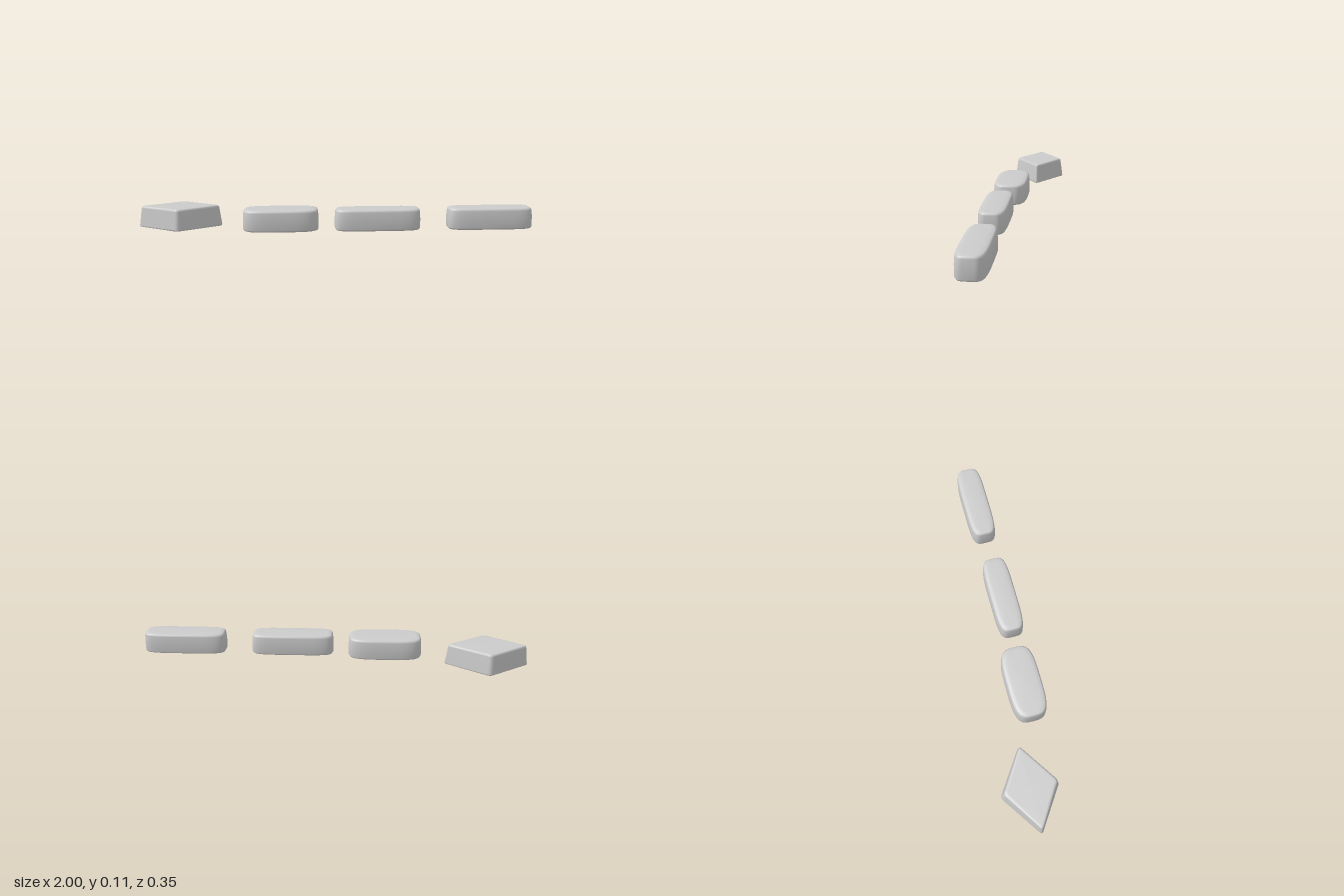
import * as THREE from 'three';

const SIDES = 64;
const material = new THREE.MeshStandardMaterial({ color: 0xcccccc });

// Rounded rectangular outline: a superellipse, higher power = squarer
function pillOutline(hx, hz, power) {
  const soft = (v) => Math.sign(v) * Math.pow(Math.abs(v), 2 / power);
  return Array.from({ length: SIDES }, (_, i) => {
    const a = (i / SIDES) * Math.PI * 2;
    return [soft(Math.cos(a)) * hx, soft(Math.sin(a)) * hz];
  });
}

// Rhombus outline with small rounded corners
function diamondOutline(hx, hz) {
  const corners = [[hx, 0], [0, hz], [-hx, 0], [0, -hz]];
  const points = [];
  const cut = 0.07, steps = SIDES / 4 - 1;
  corners.forEach(([x, z], i) => {
    const toward = ([px, pz]) => new THREE.Vector2(x + (px - x) * cut, z + (pz - z) * cut);
    const curve = new THREE.QuadraticBezierCurve(
      toward(corners[(i + 3) % 4]), new THREE.Vector2(x, z), toward(corners[(i + 1) % 4]));
    curve.getPoints(steps).forEach((p) => points.push([p.x, p.y]));
  });
  return points;
}

// Stack inset copies of an outline at [height, inset] levels, closed top and bottom
function stone(outline, hx, hz, levels) {
  const positions = [], index = [];
  const n = outline.length;
  for (const [y, inset] of levels) {
    for (const [x, z] of outline) positions.push(x * (1 - inset / hx), y, z * (1 - inset / hz));
  }
  for (let r = 0; r < levels.length - 1; r++) {
    for (let i = 0; i < n; i++) {
      const j = (i + 1) % n;
      const a = r * n + i, b = r * n + j, c = a + n, d = b + n;
      index.push(a, c, b, b, c, d);
    }
  }
  const last = levels.length - 1;
  const bottom = positions.length / 3, top = bottom + 1;
  positions.push(0, levels[0][0], 0, 0, levels[last][0], 0);
  for (let i = 0; i < n; i++) {
    const j = (i + 1) % n;
    index.push(bottom, i, j, top, last * n + j, last * n + i);
  }
  const geometry = new THREE.BufferGeometry();
  geometry.setAttribute('position', new THREE.Float32BufferAttribute(positions, 3));
  geometry.setIndex(index);
  geometry.computeVertexNormals();
  return geometry;
}

export function createModel() {
  const group = new THREE.Group();
  const add = (name, geometry, x, z) => {
    const mesh = new THREE.Mesh(geometry, material);
    mesh.name = name;
    mesh.position.set(x, 0, z);
    group.add(mesh);
  };

  // Tapered diamond block
  const diamondLevels = [[0.003, 0.02], [0.003, 0.006], [0.005, 0.001], [0.011, 0],
    [0.099, 0.013], [0.106, 0.016], [0.11, 0.022], [0.111, 0.035]];
  add('diamondStone', stone(diamondOutline(0.217, 0.149), 0.217, 0.149, diamondLevels), -0.787, -0.03);

  // Three softly bevelled pill blocks: name, centre x, centre z, half width, half depth, power
  const pillLevels = [[0, 0.03], [0.002, 0.013], [0.005, 0.005], [0.013, 0], [0.06, 0],
    [0.097, 0.003], [0.105, 0.006], [0.109, 0.012], [0.112, 0.03]];
  const pills = [
    ['wideStone', -0.273, 0.08, 0.19, 0.09, 3.6],
    ['middleStone', 0.213, 0.102, 0.215, 0.07, 4.4],
    ['endStone', 0.785, 0.102, 0.215, 0.07, 4.4],
  ];
  for (const [name, x, z, hx, hz, power] of pills) {
    add(name, stone(pillOutline(hx, hz, power), hx, hz, pillLevels), x, z);
  }
  return group;
}
